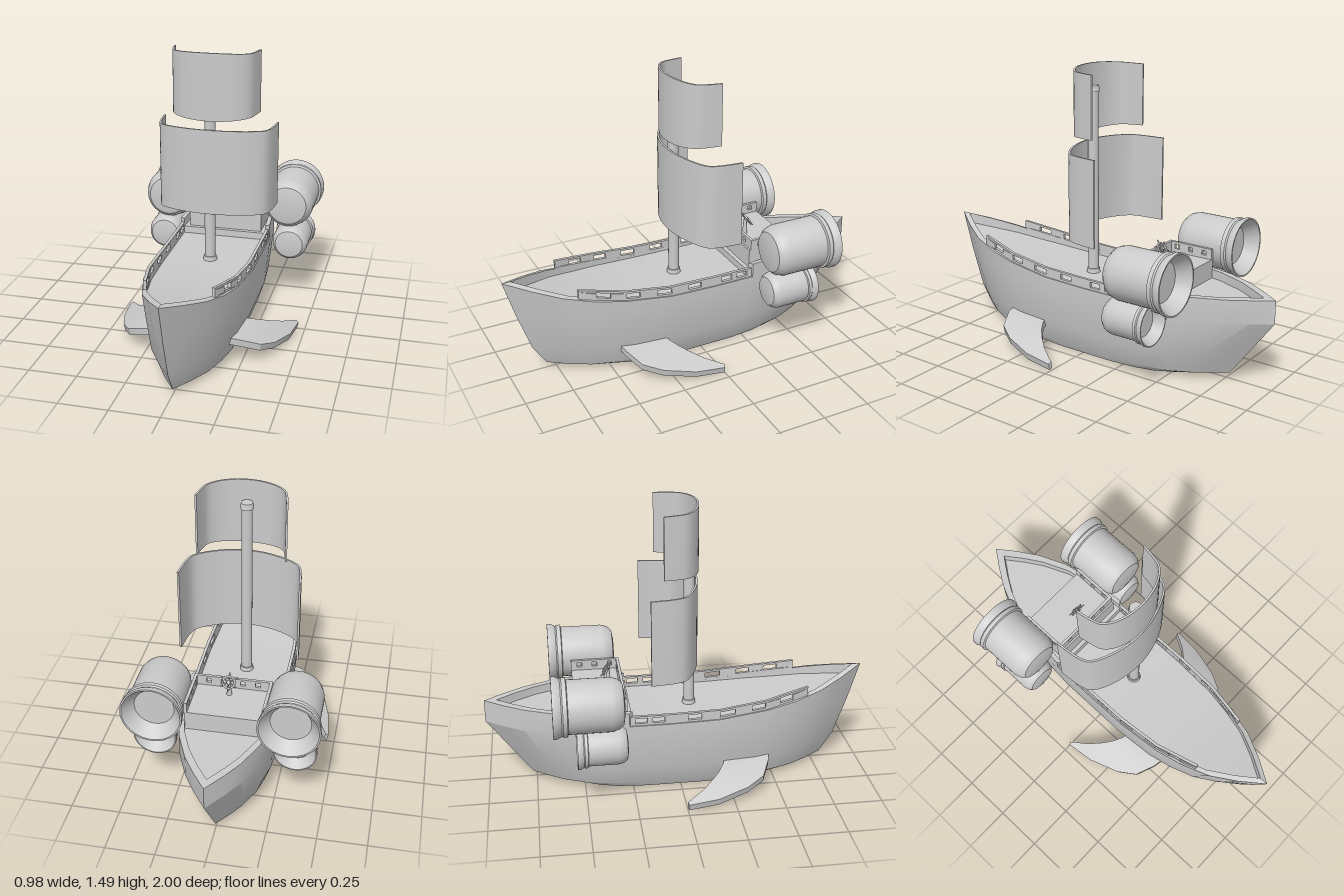
import * as THREE from 'three';
import { toCreasedNormals } from 'three/addons/utils/BufferGeometryUtils.js';

const material = new THREE.MeshStandardMaterial({ color: 0xcccccc });

function add(parent, name, geometry, x = 0, y = 0, z = 0) {
  const mesh = new THREE.Mesh(geometry, material);
  mesh.name = name;
  mesh.position.set(x, y, z);
  parent.add(mesh);
  return mesh;
}

// Closed skin over rows of points; each row is a ring. Faces are turned outward by signed volume.
function skin(rows, crease = 0.5) {
  const n = rows[0].length;
  const tris = [];
  let volume = 0;
  const tri = (a, b, c) => {
    const [A, B, C] = [a, b, c].map((p) => new THREE.Vector3(...p));
    const cross = B.clone().sub(A).cross(C.clone().sub(A));
    if (cross.length() < 1e-9) return;
    volume += A.dot(B.clone().cross(C));
    tris.push([a, b, c]);
  };
  for (let i = 0; i < rows.length - 1; i++) {
    for (let j = 0; j < n; j++) {
      const k = (j + 1) % n;
      tri(rows[i][j], rows[i + 1][j], rows[i + 1][k]);
      tri(rows[i][j], rows[i + 1][k], rows[i][k]);
    }
  }
  const ordered = volume < 0 ? tris.map(([a, b, c]) => [a, c, b]) : tris;
  const g = new THREE.BufferGeometry();
  g.setAttribute('position', new THREE.Float32BufferAttribute(ordered.flat(2), 3));
  g.computeVertexNormals();
  return toCreasedNormals(g, crease);
}

// Loft through rings with flat end caps
function loft(rings, crease) {
  const cap = (ring) => {
    const c = [0, 1, 2].map((k) => ring.reduce((s, p) => s + p[k], 0) / ring.length);
    return ring.map(() => c);
  };
  return skin([cap(rings[0]), ...rings, cap(rings[rings.length - 1])], crease);
}

// Stations from bow to stern: [z, relative width, gunwale height, deck height]
const stations = [
  [1, 0, 0.55, 0.495], [0.88, 0.33, 0.517, 0.465], [0.75, 0.62, 0.482, 0.44], [0.6, 0.81, 0.448, 0.415],
  [0.45, 0.93, 0.425, 0.4], [0.2, 1, 0.397, 0.385], [-0.05, 1, 0.39, 0.383], [-0.27, 1, 0.39, 0.383],
  [-0.271, 1, 0.465, 0.42], [-0.5, 0.93, 0.465, 0.42], [-0.65, 0.8, 0.465, 0.42],
  [-0.8, 0.54, 0.465, 0.42], [-0.9, 0.29, 0.465, 0.42], [-1, 0, 0.465, 0.42],
];

function station(z) {
  const i = Math.max(1, stations.findIndex((s) => s[0] <= z));
  const [a, b] = [stations[i - 1], stations[i]];
  const t = (a[0] - z) / (a[0] - b[0]);
  return a.map((v, k) => v + (b[k] - v) * t);
}

// Hull levels from keel to deck: [half width, bow reach, stern reach, height rule]
function hull() {
  const levels = [
    [0, 0.66, 0.64, () => 0], [0.185, 0.66, 0.64, () => 0], [0.2, 0.8, 0.77, () => 0.03],
    [0.235, 0.87, 0.85, () => 0.14], [0.25, 0.94, 1, () => 0.345], [0.25, 1, 1, (s) => s[2]],
    [0.228, 0.955, 0.935, (s) => s[2]], [0.228, 0.95, 0.93, (s) => s[3]], [0, 0.95, 0.93, (s) => s[3]],
  ];
  return skin(levels.map(([w, bow, stern, height]) => {
    const side = (sign) => stations.map((s) => [sign * w * s[1], height(s), s[0] * (s[0] > 0 ? bow : stern)]);
    return [...side(1), ...side(-1).reverse()];
  }), 0.35);
}

// Pierced rail along the gunwale: strips above and below, posts between the openings
function sideRail(parent, sign) {
  const rail = new THREE.Group();
  rail.name = sign > 0 ? 'leftRail' : 'rightRail';
  parent.add(rail);
  const piece = (name, z0, z1, low, high) => {
    const rings = [];
    for (let i = 0; i <= 4; i++) {
      const z = z0 + ((z1 - z0) * i) / 4;
      const [, w, y] = station(z);
      const x = 0.25 * w - 0.006;
      rings.push([[x, low], [x, high], [x - 0.016, high], [x - 0.016, low]].map(([px, h]) => [sign * px, y + h, z]));
    }
    add(rail, name, loft(rings));
  };
  piece('railFoot', 0.67, -0.268, -0.01, 0.012);
  piece('railTop', 0.67, -0.268, 0.04, 0.051);
  const openings = [[0.585, 0.515], [0.435, 0.365], [0.275, 0.195], [0.1, 0.03], [-0.09, -0.15], [-0.18, -0.24]];
  let start = 0.67;
  for (const [from, to] of [...openings, [-0.268, 0]]) {
    piece('railPost', start, from, 0.01, 0.042);
    start = to;
  }
}

// Flat wall with square openings, standing on y = 0 and centred on x
function piercedWall(width, holes) {
  const shape = new THREE.Shape();
  shape.moveTo(-width / 2, 0).lineTo(width / 2, 0).lineTo(width / 2, 0.055).lineTo(-width / 2, 0.055);
  for (const x of holes) {
    const hole = new THREE.Path();
    hole.moveTo(x - 0.013, 0.018).lineTo(x - 0.013, 0.042).lineTo(x + 0.013, 0.042).lineTo(x + 0.013, 0.018);
    shape.holes.push(hole);
  }
  return new THREE.ExtrudeGeometry(shape, { depth: 0.015, bevelEnabled: false });
}

// Curved sail with thickness; half holds plan points from the centre to the edge
function sail(half, low, high, bulge) {
  const plan = [...half.slice(1).reverse().map(([x, z]) => [-x, z]), ...half].map(([x, z]) => new THREE.Vector3(x, 0, z));
  const pts = new THREE.CatmullRomCurve3(plan).getPoints(28);
  const edge = half[half.length - 1][0];
  return loft(pts.map(({ x, z }, i) => {
    const a = pts[Math.max(0, i - 1)], b = pts[Math.min(pts.length - 1, i + 1)];
    const d = b.clone().sub(a).normalize().multiplyScalar(0.01);
    const lift = 0.012 * (1 - Math.min(1, Math.abs(x) / edge) ** 2);
    const y0 = low + lift * bulge, y1 = high + lift;
    return [[x, y0, z], [x, y1, z], [x + d.z, y1, z - d.x], [x + d.z, y0, z - d.x]];
  }), 0.6);
}

// Thruster with domed nose and hollow flared bell, pointing aft
function thruster() {
  const profile = [
    [0, 0], [0.07, 0.001], [0.105, 0.008], [0.125, 0.03], [0.135, 0.065], [0.135, 0.28], [0.147, 0.284],
    [0.147, 0.305], [0.141, 0.312], [0.154, 0.335], [0.154, 0.355], [0.146, 0.355], [0.1, 0.285], [0, 0.285],
  ].map(([r, d]) => new THREE.Vector2(r, d));
  return toCreasedNormals(new THREE.LatheGeometry(profile, 40).rotateX(-Math.PI / 2), 0.6);
}

// Swept, drooping fin: [outer x, outer z, inner x, inner z]
function fin(sign) {
  const drop = (x) => 0.15 - 0.11 * (Math.max(0, x - 0.2) / 0.265) ** 1.5;
  const sections = [
    [0.2, 0.465, 0.2, 0.23], [0.25, 0.455, 0.25, 0.215], [0.345, 0.41, 0.3, 0.185],
    [0.4, 0.32, 0.34, 0.15], [0.45, 0.16, 0.395, 0.09], [0.467, 0.005, 0.452, 0],
  ];
  return loft(sections.map(([xo, zo, xi, zi]) => [
    [sign * xo, drop(xo), zo], [sign * xi, drop(xi), zi],
    [sign * (xi - 0.008), drop(xi) - 0.035, zi], [sign * (xo - 0.008), drop(xo) - 0.035, zo],
  ]), 0.4);
}

function steeringWheel() {
  const wheel = new THREE.Group();
  wheel.name = 'steeringWheel';
  add(wheel, 'wheelRim', new THREE.TorusGeometry(0.03, 0.005, 8, 24));
  add(wheel, 'wheelHub', new THREE.CylinderGeometry(0.009, 0.009, 0.018, 12).rotateX(Math.PI / 2));
  for (let i = 0; i < 3; i++) {
    add(wheel, 'wheelSpoke', new THREE.CylinderGeometry(0.0035, 0.0035, 0.098, 8)).rotation.z = (i * Math.PI) / 3;
  }
  wheel.position.set(0.01, 0.6, -0.365);
  wheel.rotation.x = 0.6;
  return wheel;
}

export function createModel() {
  const ship = new THREE.Group();
  ship.name = 'flyingShip';
  add(ship, 'hull', hull());

  // Raised helm deck with rails on three sides
  add(ship, 'helmDeck', new THREE.BoxGeometry(0.4, 0.14, 0.265), 0, 0.45, -0.4075);
  add(ship, 'helmFrontRail', piercedWall(0.4, [-0.125, -0.05, 0.05, 0.125]), 0, 0.52, -0.3);
  for (const x of [-0.2, 0.185]) {
    add(ship, 'helmSideRail', piercedWall(0.25, [-0.08, 0, 0.08]), x, 0.52, -0.415).rotation.y = Math.PI / 2;
  }
  add(ship, 'wheelPost', new THREE.CylinderGeometry(0.008, 0.014, 0.085, 12), 0.01, 0.557, -0.355);
  ship.add(steeringWheel());

  // Mast with foot and cap
  add(ship, 'mast', new THREE.CylinderGeometry(0.028, 0.028, 0.99, 24), 0, 0.875, 0.068);
  add(ship, 'mastFoot', new THREE.CylinderGeometry(0.033, 0.036, 0.025, 24), 0, 0.395, 0.068);
  add(ship, 'mastCap', new THREE.CylinderGeometry(0.03, 0.035, 0.03, 24), 0, 1.365, 0.068);

  add(ship, 'lowerSail', sail([[0, 0.106], [0.1, 0.095], [0.2, 0.062], [0.27, 0.018], [0.292, -0.03], [0.308, -0.162]], 0.637, 1.083, 1));
  add(ship, 'upperSail', sail([[0, 0.111], [0.08, 0.102], [0.15, 0.075], [0.196, 0.035], [0.212, -0.01], [0.226, -0.087]], 1.155, 1.474, -1));

  for (const sign of [1, -1]) {
    const side = sign > 0 ? 'left' : 'right';
    sideRail(ship, sign);
    add(ship, side + 'UpperThruster', thruster(), sign * 0.335, 0.568, -0.302);
    add(ship, side + 'LowerThruster', thruster(), sign * 0.353, 0.35, -0.29).scale.setScalar(0.715);
    add(ship, side + 'Fin', fin(sign));
  }
  return ship;
}
